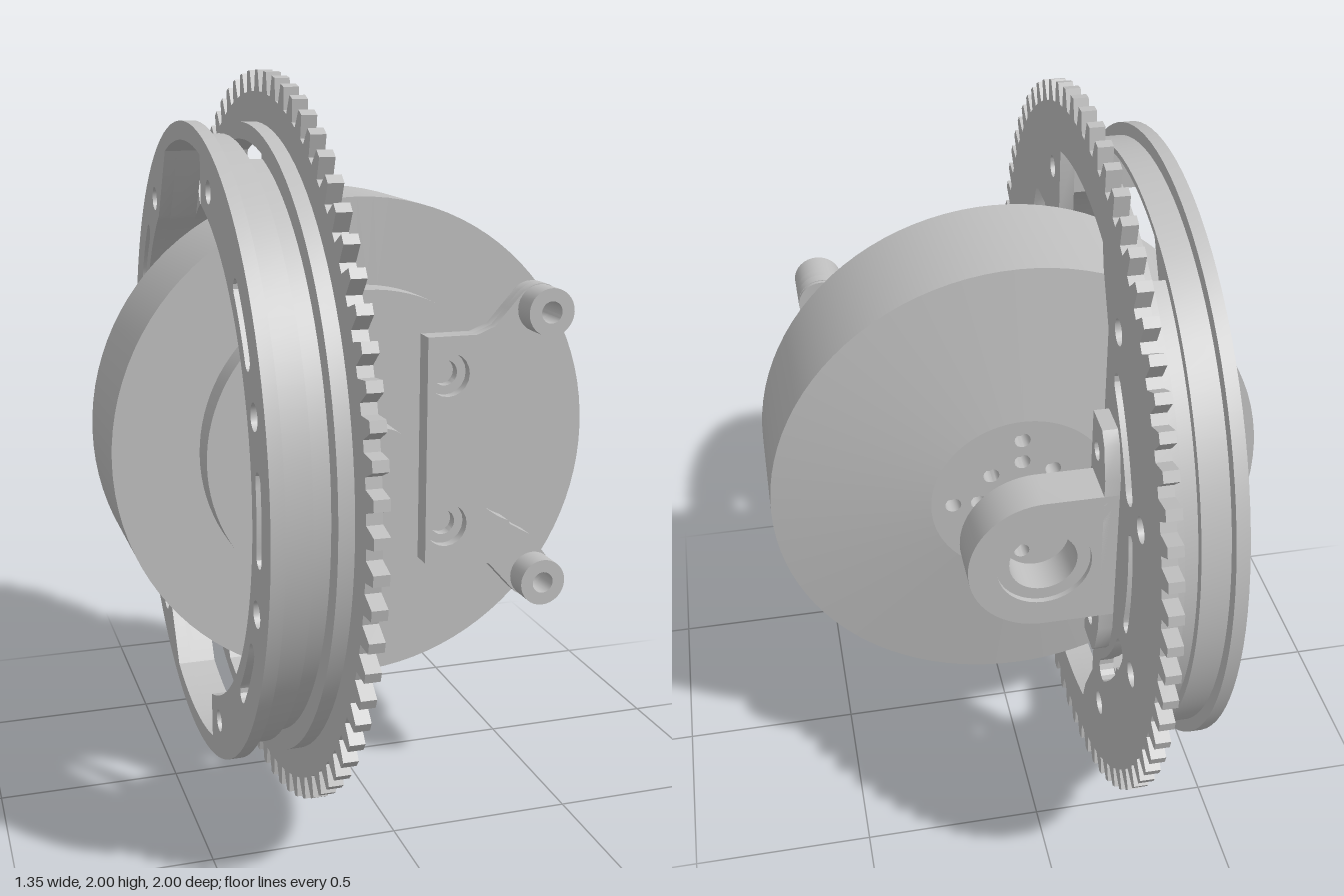
import * as THREE from 'three';
import { toCreasedNormals } from 'three/addons/utils/BufferGeometryUtils.js';

const V = (x, y) => new THREE.Vector2(x, y);
const DEG = Math.PI / 180;

// Points along an arc, angles in degrees
function arc(r, from, to, n = 24, cx = 0, cy = 0) {
  return Array.from({ length: n + 1 }, (_, i) => {
    const a = (from + (to - from) * i / n) * DEG;
    return V(cx + r * Math.cos(a), cy + r * Math.sin(a));
  });
}
const circle = (x, y, r, n = 20) => arc(r, 0, 360 - 360 / n, n - 1, x, y);
const pairV = (x, y, r) => [circle(x, y, r), circle(x, -y, r)];
// Curved slot with round ends
function arcSlot(r, half, from, to) {
  const end = (a, s) => arc(half, s, s + 180, 6, r * Math.cos(a * DEG), r * Math.sin(a * DEG));
  return [...arc(r + half, from, to, 10), ...end(to, to), ...arc(r - half, to, from, 10), ...end(from, from + 180)];
}

export function createModel() {
  const group = new THREE.Group();
  const grey = new THREE.MeshStandardMaterial({ color: 0xbfbfbf });
  grey.name = 'grey metal';

  function add(name, geo) {
    const mesh = new THREE.Mesh(toCreasedNormals(geo, 0.5), grey);
    mesh.name = name;
    group.add(mesh);
  }
  function solid(points, holes, depth) {
    const shape = new THREE.Shape(points);
    shape.holes = holes.map(h => new THREE.Path(h));
    return new THREE.ExtrudeGeometry(shape, { depth, bevelEnabled: false });
  }
  // Plate facing x: outline is (-z, y - 1)
  const plateX = (name, pts, holes, x0, x1) =>
    add(name, solid(pts, holes, x1 - x0).rotateY(Math.PI / 2).translate(x0, 1, 0));
  // Plate facing z: outline is (x, y - 1)
  const plateZ = (name, pts, holes, z0, z1) =>
    add(name, solid(pts, holes, z1 - z0).translate(0, 1, z0));

  // Toothed gear plate
  const teeth = 72, gear = [];
  for (let i = 0; i < teeth; i++) {
    for (const [f, r] of [[-0.33, 0.945], [-0.16, 1], [0.16, 1], [0.33, 0.945]]) {
      const a = (i + f) * 2 * Math.PI / teeth;
      gear.push(V(r * Math.cos(a), r * Math.sin(a)));
    }
  }
  const aL = Math.acos(-0.2 / 0.82) / DEG, aR = Math.acos(0.27 / 0.82) / DEG;
  const topArc = arc(0.82, aL, aR, 16), bottomArc = arc(0.82, -aR, -aL, 16);
  const window = [
    ...topArc, V(0.29, 0.71), V(0.36, 0.58), V(0.36, -0.58), V(0.29, -0.71),
    ...bottomArc, V(-0.2, -0.62), V(-0.28, -0.4), V(-0.28, 0.4), V(-0.2, 0.62),
  ];
  const longSlot = [
    V(-0.53, 0.47), V(-0.5, 0.54), V(-0.47, 0.555), V(-0.38, 0.555),
    V(-0.38, -0.57), V(-0.41, -0.605), V(-0.47, -0.605), V(-0.5, -0.58), V(-0.53, -0.47),
  ];
  const oval = circle(0, 0, 1, 28).map(p => V(-0.605 + p.x * 0.055, p.y * 0.165));
  const screwHoles = [
    ...pairV(-0.73, 0.24, 0.034), ...pairV(0.73, 0.24, 0.034),
    ...pairV(-0.29, 0.71, 0.03), ...pairV(0.45, 0.625, 0.034),
  ];
  plateX('gearPlate', gear, [
    window, longSlot, oval, ...pairV(-0.605, 0.25, 0.027), ...screwHoles,
    arcSlot(0.67, 0.032, 23, 46), arcSlot(0.67, 0.032, -46, -23), arcSlot(0.67, 0.02, -12, 12),
  ], -0.23, -0.19);

  // Stepped rim behind the gear
  const rimHole = [
    ...topArc, ...arc(0.7, 56, -56, 40), ...bottomArc, ...arc(0.7, -106.6, -253.4, 50),
  ];
  const rimSlots = [0, 180].flatMap(c => [-35, 0, 35].map(a => arcSlot(0.765, 0.024, c + a - 7, c + a + 7)));
  const rimHoles = [rimHole, ...screwHoles, ...rimSlots];
  plateX('rimFlange', circle(0, 0, 0.87, 96), rimHoles, -0.43, -0.395);
  plateX('rimBand', circle(0, 0, 0.835, 96), rimHoles, -0.395, -0.32);
  plateX('rimShoulder', circle(0, 0, 0.865, 96), [rimHole, ...screwHoles], -0.27, -0.23);
  for (const [from, to, hs] of [
    [-62, 62, screwHoles.filter(h => h[0].x > 0)],
    [105, 255, screwHoles.filter(h => h[0].x < 0)],
  ]) {
    plateX('rimGroove', [...arc(0.81, from, to, 50), ...arc(0.7, to, from, 50)], hs, -0.32, -0.27);
  }

  // Motor drum with stepped front and shallow conical back
  const drum = [[0.25, -0.25], [0.675, -0.193], [0.675, 0.16], [0.44, 0.16], [0.44, 0.25], [0, 0.25]];
  add('motorDrum', new THREE.LatheGeometry(drum.map(p => V(...p)), 96).rotateX(Math.PI / 2).translate(0, 1, 0));
  const vents = [0, 90, 180, 270].flatMap(a => [[0.12, a + 45], [0.12, a], [0.19, a]].map(
    ([r, t]) => circle(r * Math.cos(t * DEG), r * Math.sin(t * DEG), 0.022, 14)));
  plateZ('motorBackPlate', circle(0, 0, 0.25, 96), vents, -0.25, -0.2);
  plateZ('motorInnerDisc', circle(0, 0, 0.26, 48), [], -0.2, -0.17);
  plateZ('motorShaft', circle(0, 0, 0.036, 24), [], -0.37, -0.25);
  plateZ('frontBoss', circle(0, 0, 0.093, 40), [], 0.25, 0.37);

  // Front arm bracket with two posts, countersunk screw holes
  const upperArm = [
    V(0.15, 0.315), V(0.29, 0.315), V(0.34, 0.335), V(0.38, 0.38), V(0.42, 0.425),
    ...arc(0.065, 120, -40, 12, 0.47, 0.38), V(0.46, 0.26), V(0.4, 0.225),
    ...arc(0.23, 112, 180, 14, 0.48, 0),
  ];
  const armOutline = [...upperArm, ...upperArm.slice(0, -1).reverse().map(p => V(p.x, -p.y))];
  const postHoles = pairV(0.47, 0.378, 0.03);
  plateZ('armBracket', armOutline, [...pairV(0.21, 0.21, 0.035), ...postHoles], 0.25, 0.28);
  plateZ('armBracketFace', armOutline, [...pairV(0.21, 0.21, 0.06), ...postHoles], 0.28, 0.31);
  for (const s of [1, -1]) {
    plateZ('armPost', circle(0.47, 0.378 * s, 0.065, 32), [circle(0.47, 0.378 * s, 0.03)], 0.24, 0.385);
  }

  // Front mount flange on the gear plate
  const mount = [
    V(-0.23, -0.43), V(-0.19, -0.4), V(-0.13, -0.31), V(-0.1, -0.27),
    V(-0.1, 0.27), V(-0.13, 0.31), V(-0.19, 0.4), V(-0.23, 0.43),
  ];
  plateZ('frontMount', mount, pairV(-0.165, 0.168, 0.028), 0.26, 0.33);
  plateZ('frontMountFace', mount, pairV(-0.165, 0.168, 0.052), 0.33, 0.375);

  // Rear bearing holder and its foot
  plateZ('bearingHolder', [V(-0.19, -0.2), ...arc(0.2, -90, 90, 32), V(-0.19, 0.2)],
    [circle(0, 0, 0.125, 40)], -0.54, -0.415);
  plateZ('bearing', circle(0, 0, 0.125, 40), [circle(0, 0, 0.09, 40)], -0.525, -0.425);
  plateX('bearingFoot', [
    V(0.4, -0.37), V(0.49, -0.37), V(0.515, -0.34), V(0.54, -0.25),
    V(0.54, 0.25), V(0.515, 0.34), V(0.49, 0.37), V(0.4, 0.37),
  ], pairV(0.45, 0.28, 0.026), -0.19, -0.15);

  return group;
}
